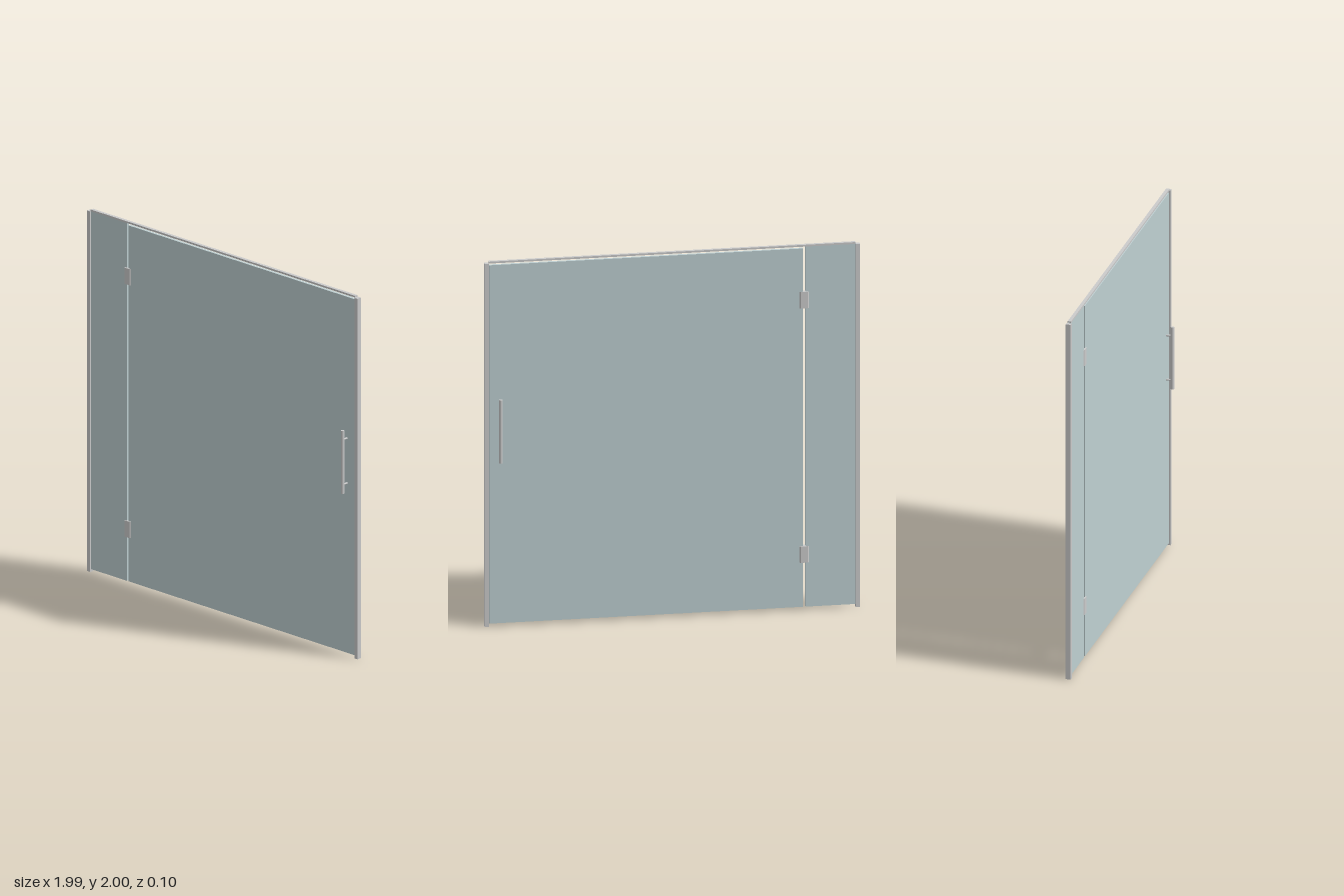
import * as THREE from 'three';

const metal = new THREE.MeshStandardMaterial({ color: 0xcccccc });
const glass = new THREE.MeshStandardMaterial({ color: 0xbfd0d2 });

export function createModel() {
  const model = new THREE.Group();
  model.name = 'glassDoorScreen';

  const add = (name, geometry, material, x, y, z) => {
    const mesh = new THREE.Mesh(geometry, material);
    mesh.name = name;
    mesh.position.set(x, y, z);
    model.add(mesh);
    return mesh;
  };

  // Box given by its x and y limits, centred on z = 0
  const slab = (name, material, x0, x1, y0, y1, depth) =>
    add(name, new THREE.BoxGeometry(x1 - x0, y1 - y0, depth), material, (x0 + x1) / 2, (y0 + y1) / 2, 0);

  // Wall channels and top rail
  slab('leftWallChannel', metal, 0.97, 0.993, 0, 1.99, 0.027);
  slab('rightWallChannel', metal, -0.993, -0.97, 0, 1.99, 0.027);
  slab('topRail', metal, -0.97, 0.97, 1.99, 2, 0.018);

  // Glass panes
  slab('fixedPane', glass, -0.972, -0.706, 0.015, 1.992, 0.016);
  slab('doorPane', glass, -0.692, 0.968, 0.015, 1.98, 0.016);

  // Hinges: plates with bevelled side edges, clamped over both panes
  const w = 0.024, d = 0.014, c = 0.005, hingeHeight = 0.09;
  const section = new THREE.Shape([
    [-w, -d + c], [-w + c, -d], [w - c, -d], [w, -d + c],
    [w, d - c], [w - c, d], [-w + c, d], [-w, d - c],
  ].map(([x, y]) => new THREE.Vector2(x, y)));
  const hinge = new THREE.ExtrudeGeometry(section, { depth: hingeHeight, bevelEnabled: false });
  hinge.translate(0, 0, -hingeHeight / 2).rotateX(-Math.PI / 2);
  add('upperHinge', hinge, metal, -0.698, 1.698, 0);
  add('lowerHinge', hinge, metal, -0.698, 0.303, 0);

  // Pull handles on both faces, joined by standoffs through the glass
  const handleX = 0.912, handleZ = 0.041;
  const bar = new THREE.CylinderGeometry(0.0095, 0.0095, 0.347, 24);
  add('frontHandleBar', bar, metal, handleX, 1.076, handleZ);
  add('backHandleBar', bar, metal, handleX, 1.076, -handleZ);
  const standoff = new THREE.CylinderGeometry(0.005, 0.005, 2 * handleZ, 16).rotateX(Math.PI / 2);
  add('upperHandleStandoff', standoff, metal, handleX, 1.2, 0);
  add('lowerHandleStandoff', standoff, metal, handleX, 0.952, 0);

  return model;
}
